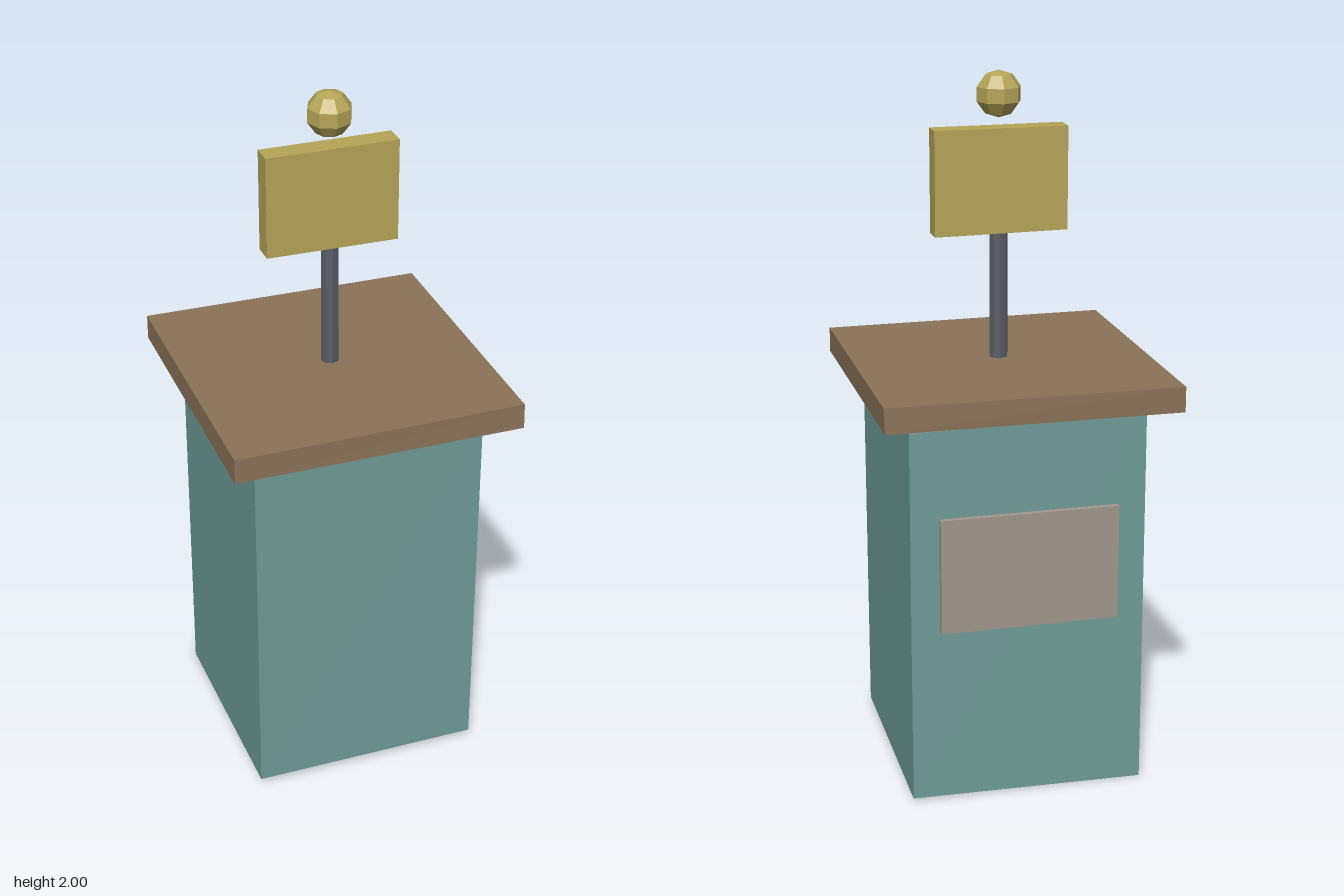
import * as THREE from 'three';

const material = (color) => new THREE.MeshStandardMaterial({ color, flatShading: true });

// Hand-cut box: bounds plus optional corner nudges keyed by side, e.g. '-++' = left/top/front
function roughBox(name, [x0, x1], [y0, y1], [z0, z1], mat, nudges = {}) {
  const geometry = new THREE.BoxGeometry(x1 - x0, y1 - y0, z1 - z0);
  const p = geometry.attributes.position;
  const sign = (v) => (v > 0 ? '+' : '-');
  for (let i = 0; i < p.count; i++) {
    const key = sign(p.getX(i)) + sign(p.getY(i)) + sign(p.getZ(i));
    const [dx, dy, dz] = nudges[key] || [0, 0, 0];
    p.setXYZ(i, p.getX(i) + dx, p.getY(i) + dy, p.getZ(i) + dz);
  }
  geometry.translate((x0 + x1) / 2, (y0 + y1) / 2, (z0 + z1) / 2);
  geometry.computeVertexNormals();
  const mesh = new THREE.Mesh(geometry, mat);
  mesh.name = name;
  return mesh;
}

export function createModel() {
  const model = new THREE.Group();
  model.name = 'kiosk';
  const teal = material(0x6f9c98);
  const wood = material(0x8b7359);
  const gold = material(0xb5a558);
  const steel = material(0x5a5e66);
  const stone = material(0xa0968c);

  // Cabinet, slightly uneven at the corners
  model.add(roughBox('cabinet', [-0.334, 0.331], [0, 1.1], [-0.334, 0.335], teal, {
    '--+': [0, 0.025, 0],
    '+-+': [-0.005, 0.02, -0.006],
    '+--': [0, 0.01, 0.004],
    '+++': [-0.005, -0.012, 0],
    '++-': [0, -0.008, 0],
    '-+-': [0, 0.004, 0],
  }));

  // Overhanging top slab, hovering just above the cabinet
  model.add(roughBox('topSlab', [-0.414, 0.411], [1.122, 1.194], [-0.421, 0.418], wood, {
    '++-': [0.002, 0, 0.009],
    '+--': [0, 0, 0.007],
    '+++': [0, 0, -0.003],
  }));

  // Panel on the back
  model.add(roughBox('backPanel', [-0.255, 0.25], [0.512, 0.843], [-0.35, -0.33], stone));

  // Sign post
  const post = new THREE.Mesh(new THREE.CylinderGeometry(0.026, 0.026, 0.38, 8), steel);
  post.name = 'post';
  post.position.set(0, 1.38, 0);
  model.add(post);

  // Sign board
  model.add(roughBox('signBoard', [-0.19, 0.187], [1.555, 1.845], [-0.033, 0.031], gold, {
    '+-+': [0, -0.003, 0],
    '+--': [0, -0.003, 0],
  }));

  // Faceted ball floating over the sign
  const ball = new THREE.Mesh(new THREE.SphereGeometry(0.065, 8, 5), gold);
  ball.name = 'ball';
  ball.position.set(-0.001, 1.935, 0);
  model.add(ball);

  return model;
}
